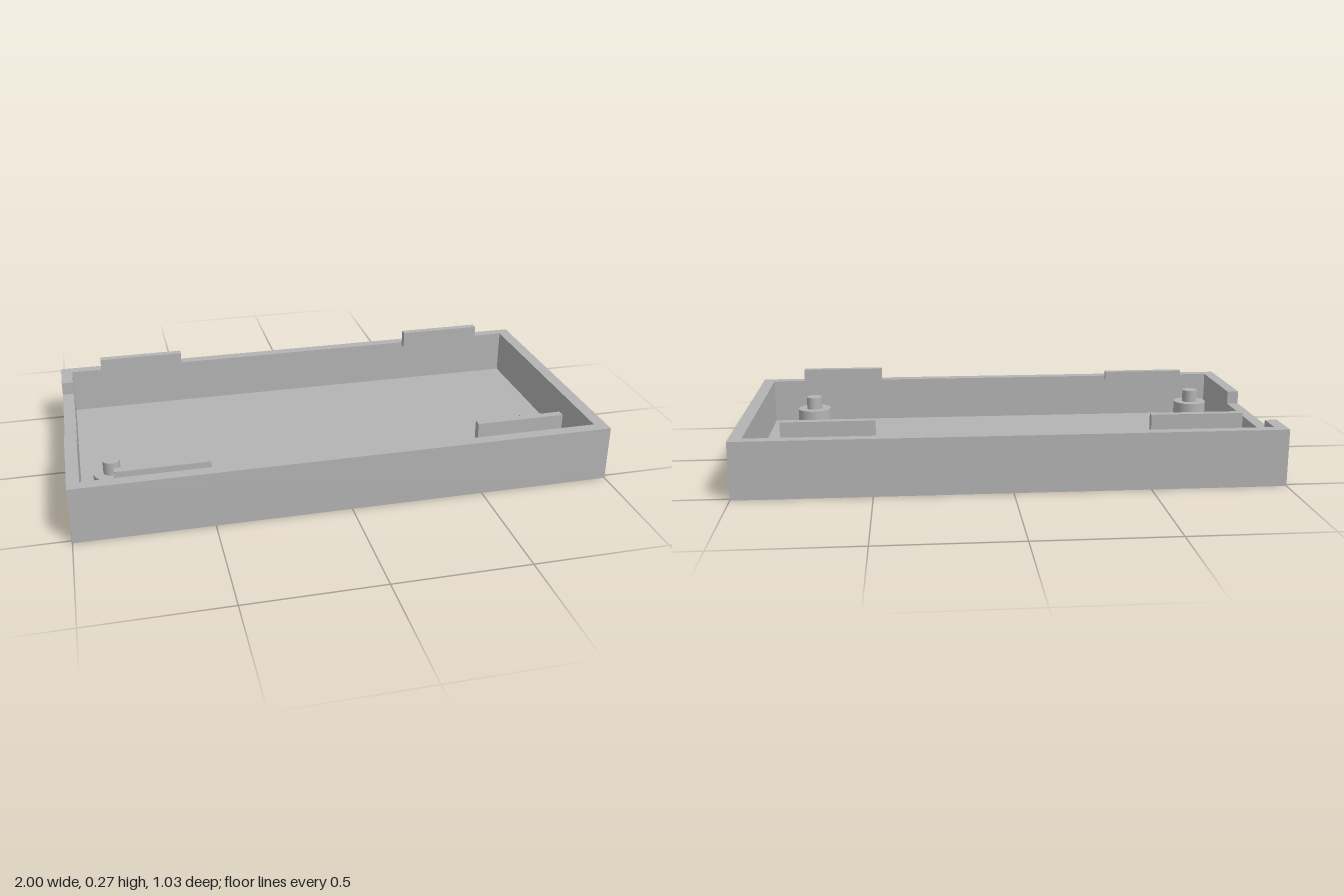
import * as THREE from 'three';

// Main dimensions
const W = 1, D = 0.517, H = 0.213;                        // half width, half depth, wall height
const IN = { x0: -0.955, x1: 0.953, z0: -0.475, z1: 0.472 }; // inner cavity
const FLOOR = 0.038;
const NOTCH = { z0: -0.37, z1: 0.11, y: 0.162 };

export function createModel() {
  const group = new THREE.Group();
  const grey = new THREE.MeshStandardMaterial({ color: 0xb4b4b4 });
  grey.name = 'plain grey';

  const add = (name, geometry) => {
    const mesh = new THREE.Mesh(geometry, grey);
    mesh.name = name;
    group.add(mesh);
    return mesh;
  };

  // Box given by its limits on each axis
  const box = (name, x0, x1, y0, y1, z0, z1) =>
    add(name, new THREE.BoxGeometry(x1 - x0, y1 - y0, z1 - z0))
      .position.set((x0 + x1) / 2, (y0 + y1) / 2, (z0 + z1) / 2);

  // Upright cylinder standing at y0
  const post = (name, r, x, y0, y1, z) =>
    add(name, new THREE.CylinderGeometry(r, r, y1 - y0, 40))
      .position.set(x, (y0 + y1) / 2, z);

  // Full-height wall, open at the notch in one short side (plan drawn as x, -z)
  const outline = [
    [-W, NOTCH.z1], [-W, D], [W, D], [W, -D], [-W, -D], [-W, NOTCH.z0],
    [IN.x0, NOTCH.z0], [IN.x0, IN.z0], [IN.x1, IN.z0],
    [IN.x1, IN.z1], [IN.x0, IN.z1], [IN.x0, NOTCH.z1],
  ].map(([x, z]) => new THREE.Vector2(x, -z));
  const wall = new THREE.ExtrudeGeometry(new THREE.Shape(outline), { depth: H, bevelEnabled: false });
  wall.rotateX(-Math.PI / 2);
  add('outerWall', wall);

  // Lower wall below the notch, and the tray floor
  box('notchSill', -W, IN.x0, 0, NOTCH.y, NOTCH.z0, NOTCH.z1);
  box('floor', IN.x0, IN.x1, 0, FLOOR, IN.z0, IN.z1);

  // Locating lips along the long walls; one of them is lower
  for (const [x0, x1, frontTop] of [[-0.835, -0.5, 0.236], [0.487, 0.82, 0.268]]) {
    box('backLip', x0, x1, 0.2, 0.268, IN.z0, IN.z0 + 0.029);
    box('frontLip', x0, x1, 0.2, frontTop, IN.z1 - 0.029, IN.z1);
  }

  // Stepped mounting posts
  for (const x of [-0.84, 0.767]) {
    post('mountBoss', 0.067, x, FLOOR, 0.136, 0.283);
    post('mountPin', 0.031, x, 0.136, 0.185, 0.283);
  }

  return group;
}
